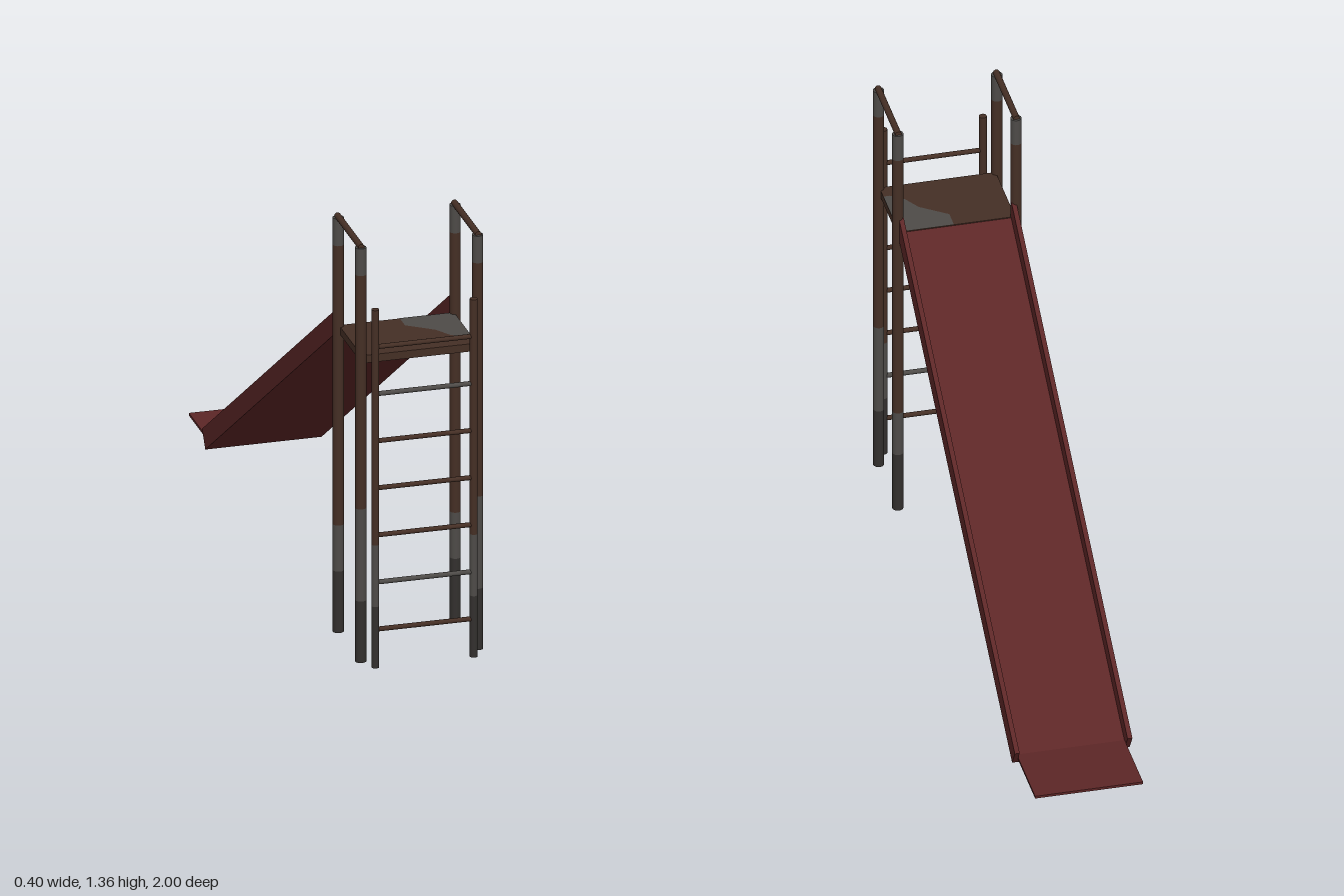
import * as THREE from 'three';

const paint = (name, color) => {
  const m = new THREE.MeshStandardMaterial({ color });
  m.name = name;
  return m;
};

export function createModel() {
  const model = new THREE.Group();
  model.name = 'playgroundSlide';
  const brown = paint('rustBrown', 0x452f25);
  const grey = paint('bareSteel', 0x4e4b48);
  const dark = paint('darkSteel', 0x33302e);
  const red = paint('slideRed', 0x5c2626);

  const add = (parent, name, geometry, material) => {
    const mesh = new THREE.Mesh(geometry, material);
    mesh.name = name;
    parent.add(mesh);
    return mesh;
  };
  const group = (name) => {
    const g = new THREE.Group();
    g.name = name;
    model.add(g);
    return g;
  };

  // Upright pipe in stacked colour bands: [top height, material] from the ground up
  const pipe = (name, x, z, radius, bands) => {
    const g = group(name);
    g.position.set(x, 0, z);
    let bottom = 0;
    for (const [top, material] of bands) {
      const geo = new THREE.CylinderGeometry(radius, radius, top - bottom, 16);
      add(g, name + 'Band', geo, material).position.y = (top + bottom) / 2;
      bottom = top;
    }
  };

  for (const side of [-1, 1]) {
    // Tower posts and the handrail joining their tops
    pipe('frontPost', side * 0.183, 0.93, 0.017, [[0.2, dark], [0.5, grey], [1.26, brown], [1.348, grey]]);
    pipe('rearPost', side * 0.183, 0.685, 0.017, [[0.2, dark], [0.35, grey], [1.26, brown], [1.348, grey]]);
    const rail = add(model, 'handrail', new THREE.CylinderGeometry(0.01, 0.01, 0.262, 14), brown);
    rail.rotation.x = Math.PI / 2;
    rail.position.set(side * 0.183, 1.35, 0.807);

    // Ladder uprights
    pipe('ladderUpright', side * 0.154, 0.988, 0.012, [[0.2, dark], [0.4, grey], [1.165, brown]]);
  }

  // Ladder rungs
  const rungs = group('ladderRungs');
  for (let i = 0; i < 7; i++) {
    const rung = add(rungs, 'rung', new THREE.CylinderGeometry(0.0075, 0.0075, 0.3, 12), i === 1 || i === 5 ? grey : brown);
    rung.rotation.z = Math.PI / 2;
    rung.position.set(0, 0.123 + i * 0.1533, 0.988);
  }

  // Platform with a worn patch on its top
  const deck = add(model, 'platform', new THREE.BoxGeometry(0.36, 0.025, 0.25), brown);
  deck.position.set(0, 0.982, 0.807);
  const patch = new THREE.Shape([
    [0.01, 0.682], [0.01, 0.74], [0.05, 0.77], [0.09, 0.8],
    [0.12, 0.85], [0.16, 0.88], [0.18, 0.88], [0.18, 0.682],
  ].map(([x, z]) => new THREE.Vector2(x, -z)));
  const worn = add(model, 'platformWornPatch', new THREE.ShapeGeometry(patch), grey);
  worn.rotation.x = -Math.PI / 2;
  worn.position.y = 0.9955;

  // Slide parts: a [z, y] side outline extruded across x
  const chute = group('slide');
  const slab = (name, outline, x0, x1) => {
    const shape = new THREE.Shape(outline.map(([z, y]) => new THREE.Vector2(-z, y)));
    const geo = new THREE.ExtrudeGeometry(shape, { depth: x1 - x0, bevelEnabled: false });
    geo.rotateY(Math.PI / 2).translate(x0, 0, 0);
    add(chute, name, geo, red);
  };
  slab('slideBed', [[0.68, 0.993], [0.68, 0.975], [-0.768, 0.012], [-0.776, 0.026]], -0.168, 0.168);
  const wall = [[0.68, 1.052], [0.68, 0.975], [-0.768, 0.012], [-0.803, 0.066]];
  slab('slideWallRight', wall, -0.182, -0.167);
  slab('slideWallLeft', wall, 0.167, 0.182);
  slab('slideExit', [[-0.765, 0.037], [-0.765, 0.029], [-1, 0.029], [-1, 0.037]], -0.167, 0.167);

  return model;
}
